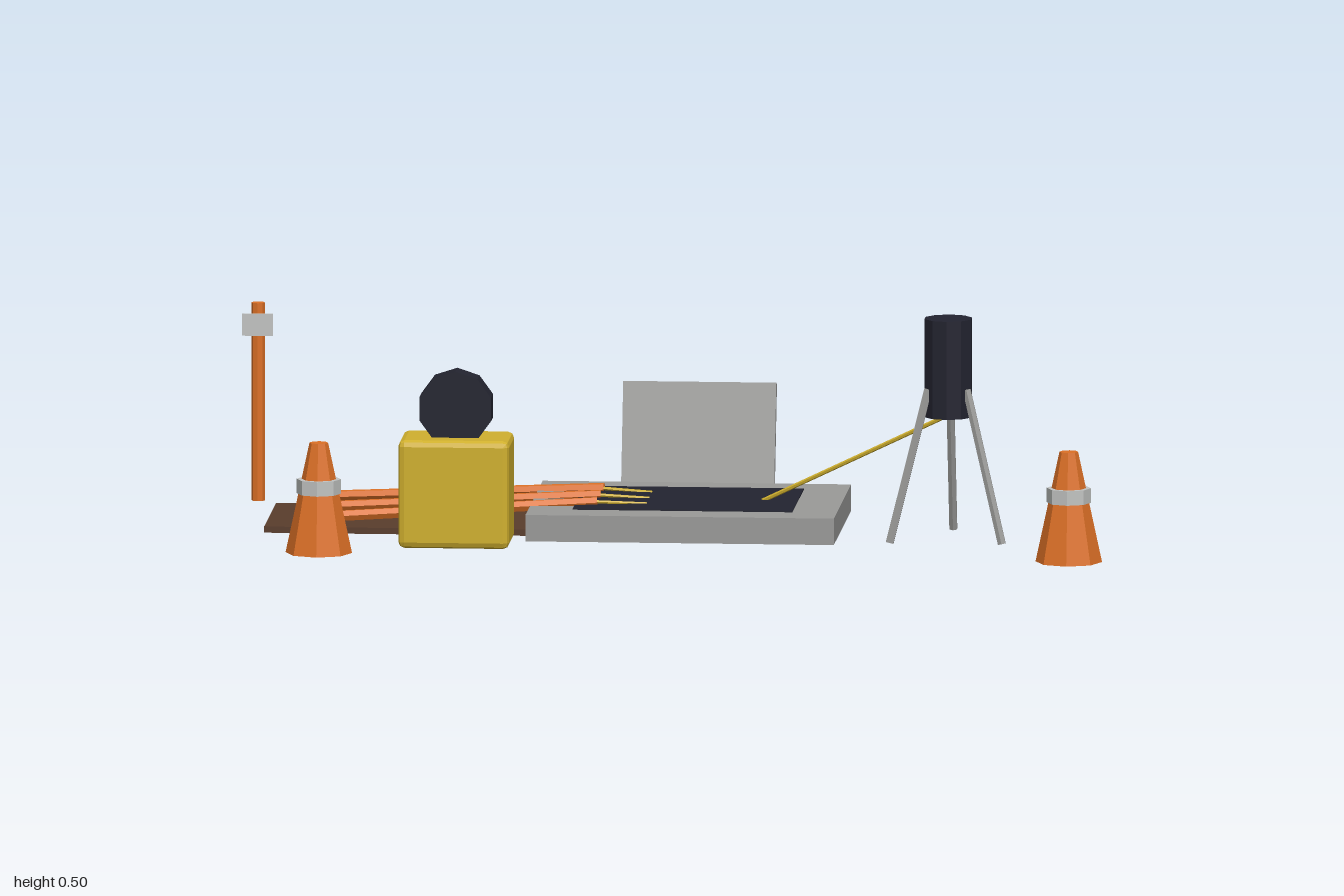
import * as THREE from 'three';
import { RoundedBoxGeometry } from 'three/addons/geometries/RoundedBoxGeometry.js';

const V = (x, y, z) => new THREE.Vector3(x, y, z);

export function createModel() {
  const root = new THREE.Group();
  root.name = 'cableWorkSite';

  const mat = (name, color) => {
    const m = new THREE.MeshStandardMaterial({ color, flatShading: true });
    m.name = name;
    return m;
  };
  const concrete = mat('concreteGrey', 0x9a9a98);
  const orange = mat('safetyOrange', 0xdc7026);
  const yellow = mat('machineYellow', 0xd0b02e);
  const dark = mat('darkNavy', 0x232430);
  const dirt = mat('dirtBrown', 0x5a3d2c);
  const reflective = mat('reflectiveGrey', 0xc2c4c2);

  const add = (name, geo, material, x = 0, y = 0, z = 0, parent = root) => {
    const mesh = new THREE.Mesh(geo, material);
    mesh.name = name;
    mesh.position.set(x, y, z);
    parent.add(mesh);
    return mesh;
  };
  const box = (name, material, w, h, d, x, y, z) =>
    add(name, new THREE.BoxGeometry(w, h, d), material, x, y, z);

  // Straight round bar between two points
  const bar = (name, material, a, b, r, sides = 6, parent = root) => {
    const dir = b.clone().sub(a);
    const mid = a.clone().add(b).multiplyScalar(0.5);
    const mesh = add(name, new THREE.CylinderGeometry(r, r, dir.length(), sides), material, mid.x, mid.y, mid.z, parent);
    mesh.quaternion.setFromUnitVectors(V(0, 1, 0), dir.normalize());
    return mesh;
  };

  // Concrete vault with its dark opening and the trench beside it
  box('vaultSlab', concrete, 0.695, 0.06, 0.5, 0.0275, 0.03, -0.085);
  box('vaultOpening', dark, 0.495, 0.004, 0.33, 0.0275, 0.061, -0.085);
  box('trench', dirt, 0.6, 0.014, 0.345, -0.615, 0.007, -0.088);

  // Removed lid leaning behind the vault
  const lid = box('leaningLid', concrete, 0.345, 0.25, 0.022, 0.0275, 0.153, -0.394);
  lid.rotation.x = -0.26;

  // Conduits running from the trench, each with a thin strand at its end
  [[-0.242, -0.19, -0.17], [-0.09, -0.09, -0.085], [0.06, 0.012, -0.005]].forEach(([z0, z1, z2]) => {
    bar('conduit', orange, V(-0.77, 0.035, z0), V(-0.17, 0.067, z1), 0.013);
    bar('cableStrand', yellow, V(-0.2, 0.069, z1), V(-0.06, 0.062, z2), 0.004);
  });

  // Splice enclosure on a tripod
  const tripod = new THREE.Group();
  tripod.name = 'tripod';
  tripod.position.set(0.625, 0, 0.063);
  root.add(tripod);
  add('enclosure', new THREE.CylinderGeometry(0.055, 0.055, 0.223, 10), dark, 0, 0.3915, 0, tripod);
  for (let i = 0; i < 3; i++) {
    const a = Math.PI + i * Math.PI * 2 / 3;
    const s = Math.sin(a), c = Math.cos(a);
    bar('tripodLeg', concrete, V(s * 0.05, 0.345, c * 0.05), V(s * 0.146, 0.002, c * 0.146), 0.01, 6, tripod);
  }
  bar('feedCable', yellow, V(0.625, 0.283, 0.063), V(0.195, 0.06, -0.083), 0.005);

  // Generator with a reel on top
  add('generator', new RoundedBoxGeometry(0.25, 0.245, 0.17, 1, 0.014), yellow, -0.47, 0.1275, 0.24);
  const reel = add('cableReel', new THREE.CylinderGeometry(0.085, 0.085, 0.06, 10), dark, -0.47, 0.315, 0.24);
  reel.rotation.x = Math.PI / 2;

  // Traffic cones
  [-0.77, 0.92].forEach((x) => {
    const cone = new THREE.Group();
    cone.name = 'trafficCone';
    cone.position.set(x, 0, 0.363);
    root.add(cone);
    add('coneBody', new THREE.CylinderGeometry(0.021, 0.075, 0.25, 8), orange, 0, 0.125, 0, cone);
    add('coneBand', new THREE.CylinderGeometry(0.05, 0.05, 0.033, 8), reflective, 0, 0.151, 0, cone);
  });

  // Marker post with a small plate
  add('markerPost', new THREE.CylinderGeometry(0.015, 0.015, 0.45, 8), orange, -0.965, 0.225, -0.385);
  box('markerPlate', reflective, 0.07, 0.05, 0.006, -0.965, 0.402, -0.366);

  return root;
}
